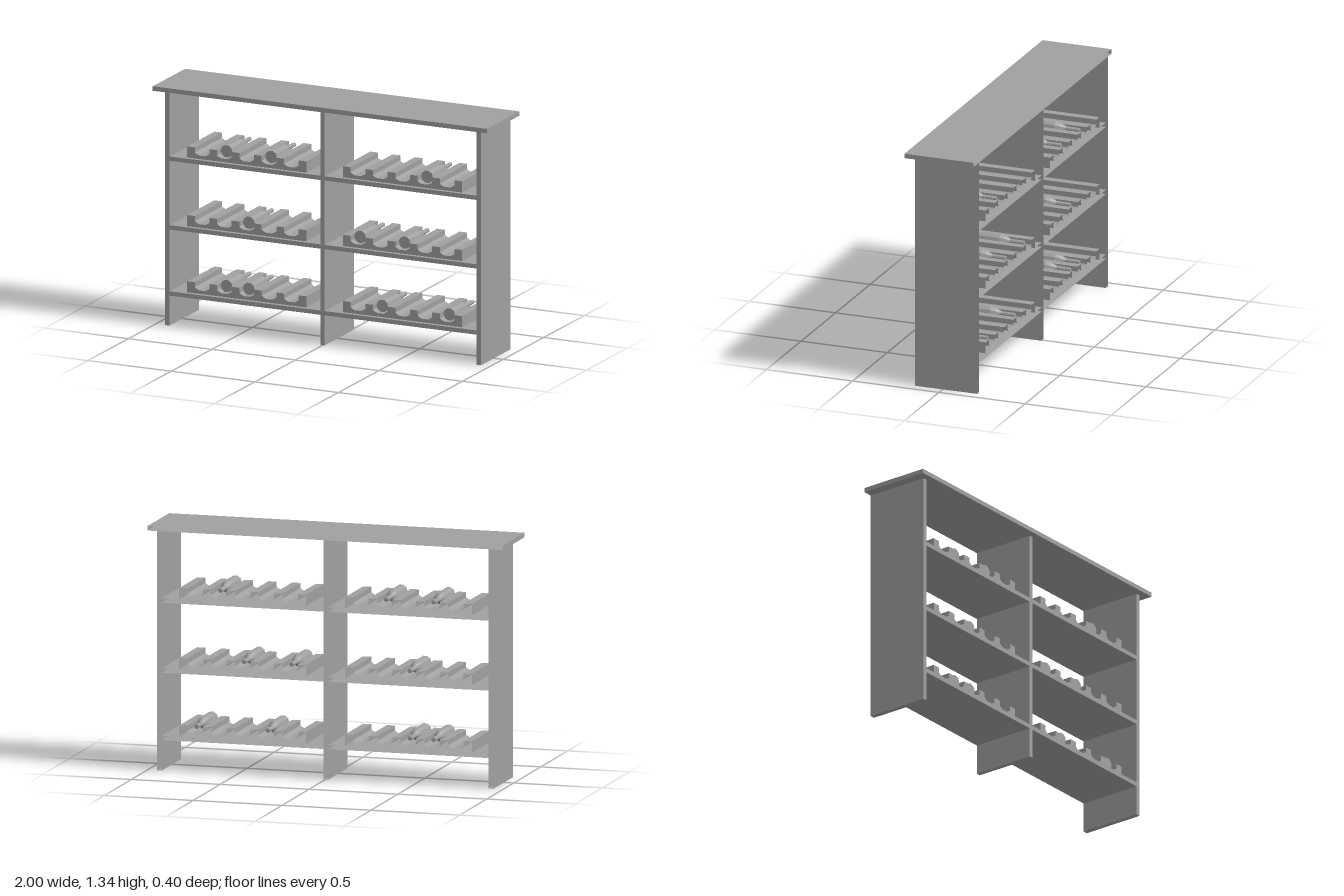
import * as THREE from 'three';

// Drops the faces on the rearmost plane, leaving a shell open at the back
function openBack(source) {
  const geo = source.index ? source.toNonIndexed() : source;
  const p = geo.attributes.position;
  geo.computeBoundingBox();
  const limit = geo.boundingBox.min.z + 1e-4;
  const kept = [];
  for (let i = 0; i < p.count; i += 3) {
    if ([0, 1, 2].every((k) => p.getZ(i + k) < limit)) continue;
    for (let k = 0; k < 3; k++) kept.push(p.getX(i + k), p.getY(i + k), p.getZ(i + k));
  }
  const out = new THREE.BufferGeometry();
  out.setAttribute('position', new THREE.Float32BufferAttribute(kept, 3));
  out.computeVertexNormals();
  return out;
}

// Box given by its limits, open at the back
function shellBox(x0, x1, y0, y1, z0, z1) {
  const geo = new THREE.BoxGeometry(x1 - x0, y1 - y0, z1 - z0);
  geo.translate((x0 + x1) / 2, (y0 + y1) / 2, (z0 + z1) / 2);
  return openBack(geo);
}

const BACK = -0.2;
const FRONT = 0.16;
const PITCH = 0.1335;
const TOOTH = 0.046;
const RACK_FRONT = 0.136;

// Scalloped bottle rest: six teeth with five grooves between them
function rackGeometry() {
  const width = PITCH * 5 + TOOTH;
  const s = new THREE.Shape();
  s.moveTo(0, 0);
  s.lineTo(width, 0);
  for (let i = 5; i >= 0; i--) {
    const x = i * PITCH;
    s.lineTo(x + TOOTH, 0.062);
    s.lineTo(x, 0.062);
    if (i > 0) {
      const left = x - PITCH + TOOTH;
      s.lineTo(x, 0.034);
      s.lineTo(x - 0.01, 0.026);
      s.lineTo(x - 0.026, 0.019);
      s.lineTo(left + 0.026, 0.019);
      s.lineTo(left + 0.01, 0.026);
      s.lineTo(left, 0.034);
    }
  }
  s.closePath();
  const geo = new THREE.ExtrudeGeometry(s, { depth: RACK_FRONT - BACK, bevelEnabled: false });
  geo.translate(0, 0, BACK);
  return openBack(geo);
}

// Bottle lying down, base to the front and neck to the back
function bottleGeometry() {
  const profile = [[0, 0], [0.035, 0], [0.035, 0.15], [0.027, 0.175], [0.013, 0.205], [0.012, 0.285], [0, 0.285]];
  const geo = new THREE.LatheGeometry(profile.map(([r, h]) => new THREE.Vector2(r, h)), 10);
  geo.rotateX(-Math.PI / 2);
  geo.rotateZ(Math.PI / 10);
  geo.translate(0, 0, 0.11);
  return geo;
}

export function createModel() {
  const group = new THREE.Group();
  const grey = new THREE.MeshStandardMaterial({ color: 0xa0a0a0, flatShading: true, side: THREE.DoubleSide });
  grey.name = 'plain grey';
  const add = (name, geo, x = 0, y = 0) => {
    const mesh = new THREE.Mesh(geo, grey);
    mesh.name = name;
    mesh.position.set(x, y, 0);
    group.add(mesh);
  };

  // Top board and uprights
  add('topBoard', shellBox(-1, 1, 1.31, 1.335, BACK, 0.2));
  add('rightPanel', shellBox(-0.946, -0.918, 0, 1.31, BACK, FRONT));
  add('middlePanel', shellBox(-0.016, 0.01, 0, 1.31, BACK, FRONT));
  add('leftPanel', shellBox(0.92, 0.946, 0, 1.31, BACK, FRONT));

  // Shelves with a rack in each bay; bottles sit in the listed grooves
  const rack = rackGeometry();
  const bottle = bottleGeometry();
  const bays = [
    { from: -0.918, to: -0.016, rackX: -0.825 },
    { from: 0.01, to: 0.92, rackX: 0.108 },
  ];
  const rows = [
    { y: 0.167, bottles: [[1, 2], [1, 4]] },
    { y: 0.536, bottles: [[2], [0, 2]] },
    { y: 0.919, bottles: [[1, 3], [3]] },
  ];
  for (const row of rows) {
    const top = row.y + 0.024;
    bays.forEach((bay, b) => {
      add('shelf', shellBox(bay.from, bay.to, row.y, top, BACK, FRONT));
      add('bottleRack', rack, bay.rackX, top);
      for (const slot of row.bottles[b]) {
        add('bottle', bottle, bay.rackX + TOOTH / 2 + PITCH * (slot + 0.5), top + 0.055);
      }
    });
  }
  return group;
}
